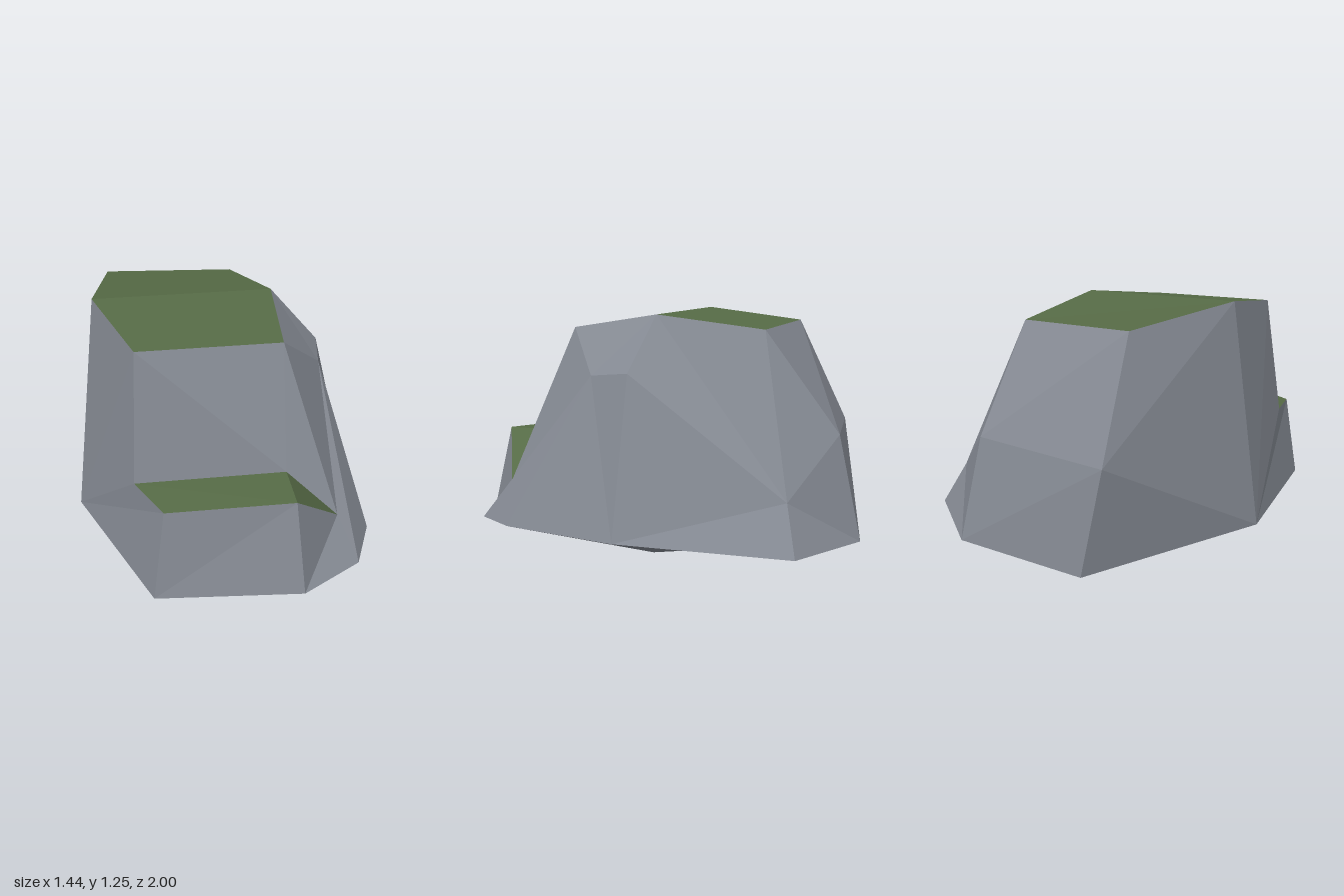
import * as THREE from 'three';

// Corners of the boulder, grouped by level: [x, y, z]
const corners = {
  // crown
  T1: [-0.59, 1.25, 0.13], T2: [0.28, 1.21, -0.04], T3: [0.27, 1.145, 0.46],
  T4: [-0.395, 1.18, 0.58], T5: [-0.54, 1.18, -0.45], T6: [0.125, 1.14, -0.545],
  // step in the front face
  L1: [-0.42, 0.583, 0.69], L2: [-0.295, 0.567, 0.9], L3: [0.28, 0.593, 0.908],
  L4: [0.27, 0.597, 0.672], L5: [0.517, 0.36, 0.697],
  // shoulders on the left side and back
  M1: [0.52, 0.94, -0.03], M2: [0.49, 0.92, 0.2], M3: [0.375, 0.39, -0.775],
  M4: [0.01, 0.655, -0.88], M5: [-0.645, 0.646, -0.68],
  // widest rim
  B1: [-0.72, 0.155, 0.21], B2: [-0.35, 0.138, 0.95], B3: [0.32, 0.163, 1],
  B4: [0.605, 0.17, 0.82], B5: [0.708, 0.178, 0.565], B6: [0.717, 0.185, -0.07],
  B7: [0.48, 0.17, -0.86], B8: [0.03, 0.163, -1], B9: [-0.59, 0.15, -0.76],
  // lowest point
  A: [0.22, 0, 0.02],
};

const core = new THREE.Vector3(0, 0.35, 0);

// Fans each facet from its first corner and turns every triangle outwards
function facets(name, material, ...polygons) {
  const positions = [];
  for (const polygon of polygons) {
    const p = polygon.split(' ').map((key) => new THREE.Vector3(...corners[key]));
    for (let i = 1; i < p.length - 1; i++) {
      const tri = new THREE.Triangle(p[0], p[i], p[i + 1]);
      const normal = tri.getNormal(new THREE.Vector3());
      const outward = tri.getMidpoint(new THREE.Vector3()).sub(core);
      const order = normal.dot(outward) > 0 ? [tri.a, tri.b, tri.c] : [tri.a, tri.c, tri.b];
      for (const v of order) positions.push(v.x, v.y, v.z);
    }
  }
  const geometry = new THREE.BufferGeometry();
  geometry.setAttribute('position', new THREE.Float32BufferAttribute(positions, 3));
  geometry.computeVertexNormals();
  const mesh = new THREE.Mesh(geometry, material);
  mesh.name = name;
  return mesh;
}

export function createModel() {
  const stone = new THREE.MeshStandardMaterial({ color: 0x858a93 });
  stone.name = 'stone';
  const moss = new THREE.MeshStandardMaterial({ color: 0x566b46 });
  moss.name = 'moss';

  // Underside: shallow cone to the lowest point, skipping the raised corner B7
  const rim = ['B1', 'B2', 'B3', 'B4', 'B5', 'B6', 'B8', 'B9'];
  const underside = rim.map((key, i) => `A ${key} ${rim[(i + 1) % rim.length]}`);

  const boulder = new THREE.Group();
  boulder.name = 'boulder';
  boulder.add(
    facets('mossyCrown', moss, 'T1 T4 T3 T2', 'T1 T2 T6 T5'),
    facets('mossyLedge', moss, 'L1 L2 L3 L4', 'L4 L3 L5'),
    facets('frontUpperFace', stone, 'L4 L1 T4 T3 L5'),
    facets('frontLowerFace', stone, 'L3 L2 B2 B3', 'L5 L3 B3', 'L5 B3 B4'),
    facets('leftFace', stone, 'M2 L5 B4 B5', 'M2 T3 L5', 'M2 T3 T2 M1', 'M2 B5 B6', 'M2 B6 M1'),
    facets('backLeftFace', stone, 'M3 T6 T2', 'M3 T2 M1', 'M3 M1 B6', 'M3 B6 B7', 'M3 B7 B8'),
    facets('backFace', stone, 'M4 T6 M3', 'M4 M3 B8', 'M4 M5 T5 T6', 'M5 M4 B8 B9'),
    facets('rightFace', stone, 'M5 B9 B1 T1 T5', 'B1 B2 L2 L1 T4 T1'),
    facets('underside', stone, ...underside, 'B6 B7 B8'),
  );

  const model = new THREE.Group();
  model.name = 'mossyBoulder';
  model.add(boulder);
  return model;
}
